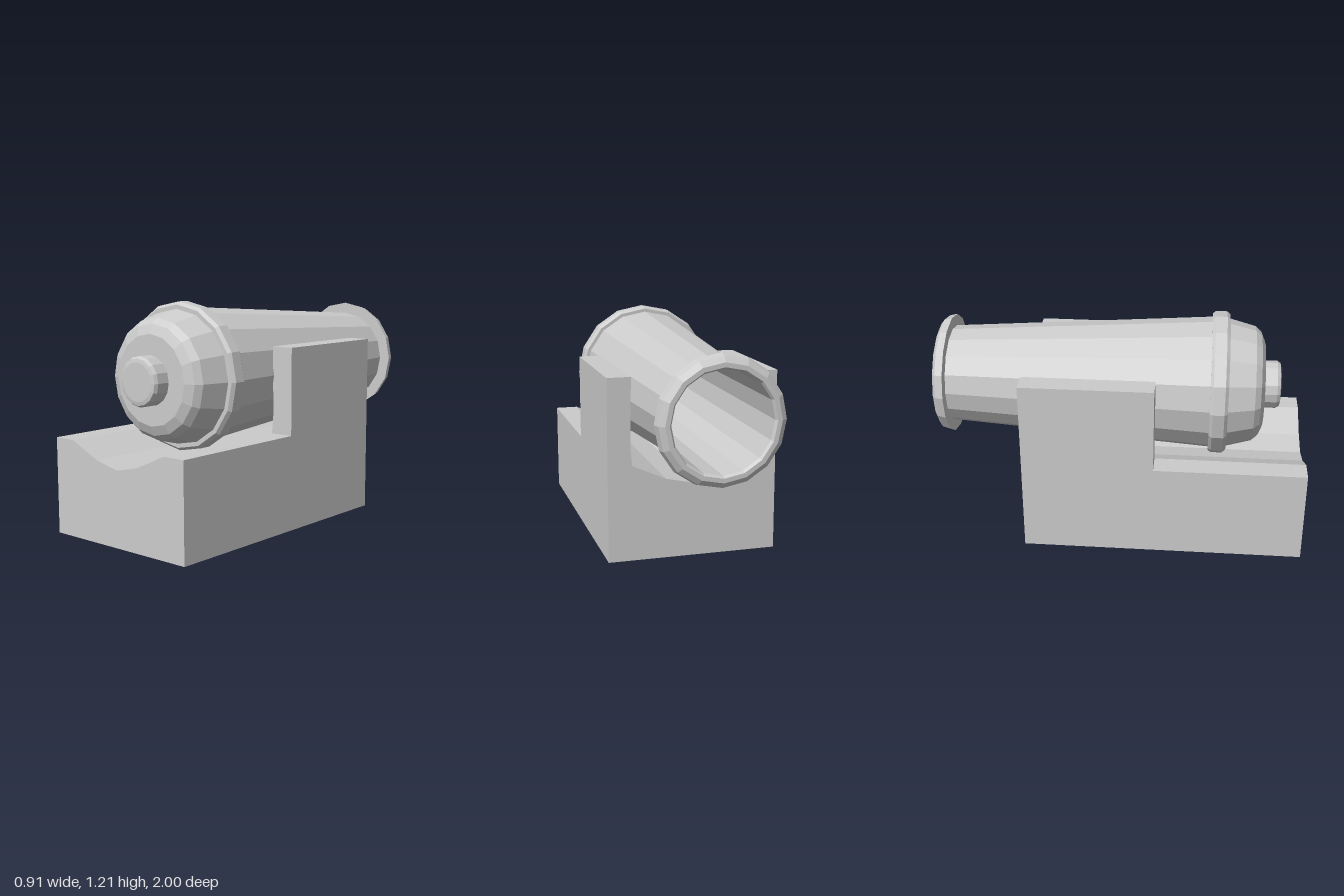
import * as THREE from 'three';

const SIDES = 16;
const AXIS_Y = 0.817;

export function createModel() {
  const group = new THREE.Group();
  const material = new THREE.MeshStandardMaterial({ color: 0xcccccc, flatShading: true });

  const add = (name, geometry) => {
    const mesh = new THREE.Mesh(geometry, material);
    mesh.name = name;
    group.add(mesh);
    return mesh;
  };

  // Extrude an x/y outline from z0 to z1
  const extrude = (name, outline, z0, z1) => {
    const shape = new THREE.Shape(outline.map(([x, y]) => new THREE.Vector2(x, y)));
    const geometry = new THREE.ExtrudeGeometry(shape, { depth: z1 - z0, bevelEnabled: false });
    geometry.translate(0, 0, z0);
    return add(name, geometry);
  };

  // Barrel profile as [radius, z]: bore, muzzle lip, tapered tube, band, breech, knob
  const profile = [
    [0, 0.4], [0.255, 0.4], [0.255, -0.985], [0.265, -1],
    [0.288, -1], [0.316, -0.98], [0.326, -0.938], [0.263, -0.938],
    [0.357, 0.476], [0.375, 0.476], [0.388, 0.492], [0.388, 0.553], [0.373, 0.57],
    [0.35, 0.57], [0.313, 0.71], [0.285, 0.742], [0.235, 0.763],
    [0.129, 0.763], [0.129, 0.835], [0.119, 0.852], [0.1, 0.856], [0, 0.856],
  ].map(([r, z]) => new THREE.Vector2(r, z));
  const barrel = new THREE.LatheGeometry(profile, SIDES);
  barrel.rotateX(Math.PI / 2);
  add('barrel', barrel).position.y = AXIS_Y;

  // Cradle block with a faceted trough along its length
  extrude('cradleBase', [
    [-0.453, 0], [0.453, 0], [0.453, 0.508], [0.325, 0.508], [0.145, 0.427],
    [0, 0.395], [-0.145, 0.427], [-0.325, 0.508], [-0.453, 0.508],
  ], -0.51, 1);

  // Raised cheeks on both sides of the barrel
  for (const [name, s] of [['leftCheek', 1], ['rightCheek', -1]]) {
    extrude(name, [
      [s * 0.325, 0.508], [s * 0.453, 0.508], [s * 0.453, 0.968],
      [s * 0.328, 0.968], [s * 0.334, 0.62],
    ], -0.51, 0.193);
  }

  return group;
}
